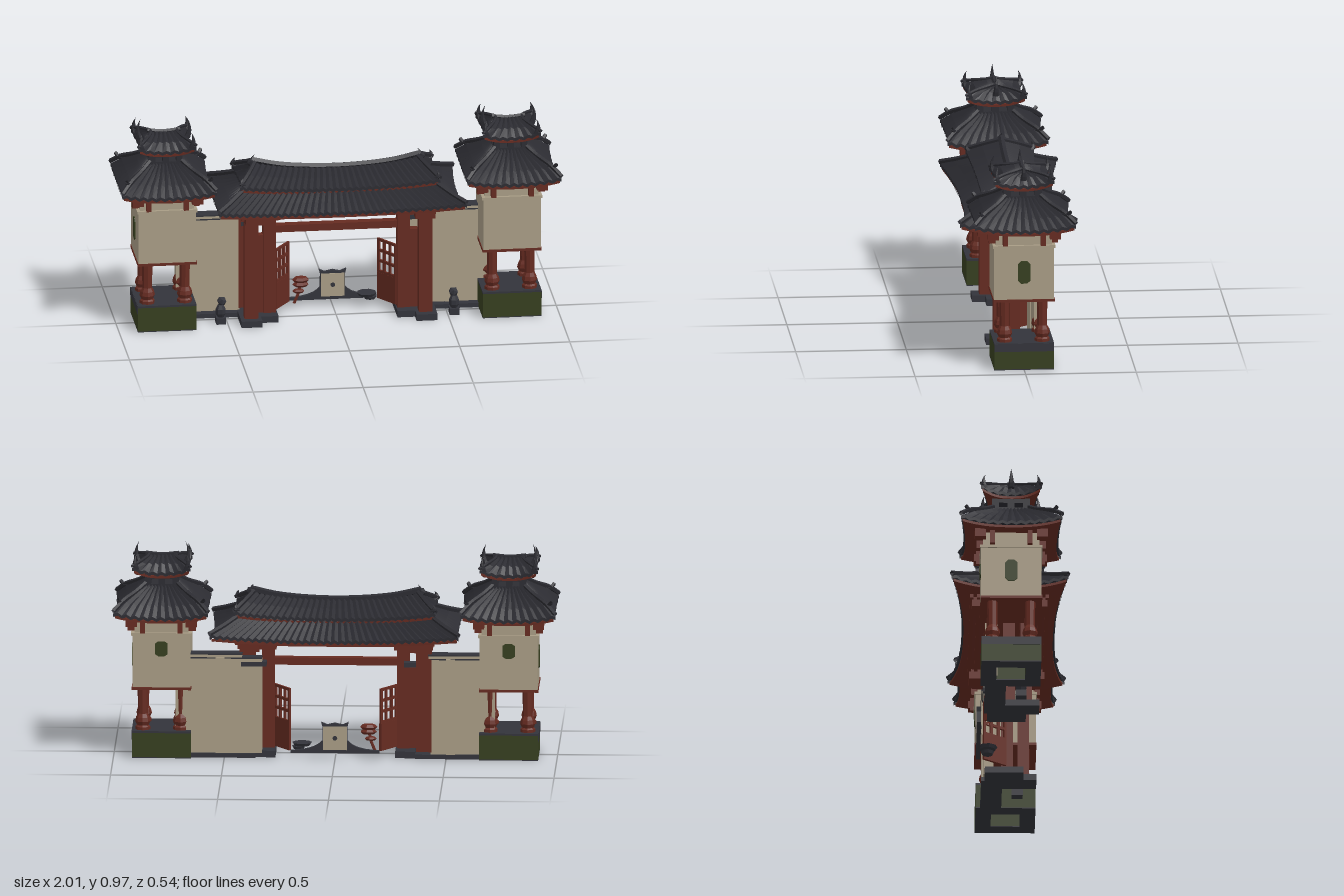
import * as THREE from 'three';

const mat = (name, color) => new THREE.MeshStandardMaterial({ name, color, flatShading: true, side: THREE.DoubleSide });
const SLATE = mat('roof slate', 0x2c2c32);
const STONE = mat('grey stone', 0x33343b);
const RED = mat('red timber', 0x662b21);
const CREAM = mat('cream plaster', 0xa99d86);
const GREEN = mat('moss green', 0x363f1f);

function add(parent, name, geo, material, x = 0, y = 0, z = 0) {
  const m = new THREE.Mesh(geo, material);
  m.name = name;
  m.position.set(x, y, z);
  parent.add(m);
  return m;
}
// box given by its ranges
function box(parent, name, material, x0, x1, y0, y1, z0, z1) {
  return add(parent, name, new THREE.BoxGeometry(Math.abs(x1 - x0), y1 - y0, z1 - z0), material,
    (x0 + x1) / 2, (y0 + y1) / 2, (z0 + z1) / 2);
}
// thin bar along a curve through a few points
function bar(parent, name, material, pts, r, n = 10) {
  const curve = new THREE.CatmullRomCurve3(pts.map(p => new THREE.Vector3(...p)));
  return add(parent, name, new THREE.TubeGeometry(curve, n, r, 5), material);
}

// rectangular ring with flared, lifted corners and tile corrugation
function ring({ hx, hz, y, lift = 0, fx = 0, fz = 0 }, nx, nz, wave) {
  const pts = [];
  for (let side = 0; side < 4; side++) {
    const n = side % 2 ? nz : nx;
    for (let i = 0; i < n; i++) {
      const t = -1 + 2 * i / n, c = Math.abs(t) ** 2.4;
      const sgn = side < 2 ? 1 : -1;
      const h = y + lift * c + (i % 2 ? wave : -wave);
      if (side % 2 === 0) pts.push([sgn * t * (hx + fx), h, sgn * (hz + fz * c)]);
      else pts.push([sgn * (hx + fx * c), h, -sgn * t * (hz + fz)]);
    }
  }
  return pts;
}
function loft(rings, nx, nz, wave) {
  const n = 2 * (nx + nz), idx = [];
  const pos = rings.flatMap(r => ring(r, nx, nz, wave)).flat();
  for (let k = 0; k + 1 < rings.length; k++) {
    for (let j = 0; j < n; j++) {
      const a = k * n + j, b = k * n + (j + 1) % n;
      idx.push(a, b, b + n, a, b + n, a + n);
    }
  }
  const g = new THREE.BufferGeometry();
  g.setAttribute('position', new THREE.Float32BufferAttribute(pos, 3));
  g.setIndex(idx);
  g.computeVertexNormals();
  return g;
}
// tiled roof with red soffit and raised hip bars
function roof(parent, name, rings, inner, nx, nz, wave, hipR) {
  const e = rings[0];
  add(parent, name, loft([{ ...e, y: e.y - 0.014 }, ...rings], nx, nz, wave), SLATE);
  const under = { ...e, hx: e.hx - 0.008, hz: e.hz - 0.008, y: e.y - 0.016 };
  add(parent, name + 'Soffit', loft([inner, { ...under, y: e.y - 0.028 }, under], nx, nz, 0), RED);
  for (const sx of [-1, 1]) for (const sz of [-1, 1]) {
    const pts = rings.map(r => [sx * (r.hx + (r.fx || 0)), r.y + (r.lift || 0) + hipR * 0.6, sz * (r.hz + (r.fz || 0))]);
    bar(parent, name + 'Hip', SLATE, pts, hipR);
  }
}
// curved, tapering horn leaning along +x before it is turned
function horn(parent, x, y, z, h, angle) {
  const g = new THREE.ConeGeometry(0.016, h, 6, 5).translate(0, h / 2, 0);
  const p = g.attributes.position;
  for (let i = 0; i < p.count; i++) {
    const t = p.getY(i) / h;
    p.setX(i, p.getX(i) + 0.05 * t * (1 - t));
  }
  g.computeVertexNormals();
  add(parent, 'roofHorn', g, SLATE, x, y, z).rotation.y = angle;
}
function plinthFrame(h, hole) {
  const s = new THREE.Shape([[-.133, -.135], [.133, -.135], [.133, .135], [-.133, .135]].map(p => new THREE.Vector2(...p)));
  s.holes.push(new THREE.Path([[-hole, -hole], [-hole, hole], [hole, hole], [hole, -hole]].map(p => new THREE.Vector2(...p))));
  return new THREE.ExtrudeGeometry(s, { depth: h, bevelEnabled: false }).rotateX(-Math.PI / 2);
}

function tower(s) {
  const g = new THREE.Group();
  g.name = 'tower';
  g.position.x = s * 0.783;
  // hollow plinth
  add(g, 'plinthFoot', plinthFrame(0.004, 0.065), STONE);
  add(g, 'plinth', plinthFrame(0.111, 0.065), GREEN, 0, 0.004);
  box(g, 'plinthTop', STONE, -.133, .133, .115, .124, -.135, .135);
  box(g, 'plinthBand', STONE, s * .132, s * .135, .085, .122, -.135, .135);
  // turned legs
  const leg = [[.034, 0], [.034, .015], [.027, .022], [.035, .04], [.031, .058], [.022, .075], [.024, .2]]
    .map(p => new THREE.Vector2(...p));
  for (const x of [-.085, .085]) for (const z of [-.085, .085])
    add(g, 'leg', new THREE.LatheGeometry(leg, 8), RED, x, .122, z);
  // plastered room
  box(g, 'floorBeam', RED, -.134, .134, .315, .327, -.139, .139);
  box(g, 'room', CREAM, -.131, .131, .325, .57, -.136, .136);
  box(g, 'roomLedge', CREAM, -.137, .137, .565, .578, -.141, .141);
  box(g, 'upperWall', CREAM, -.122, .122, .575, .665, -.127, .127);
  // eight-sided windows, outer face and a smaller one at the back
  const c = .014;
  const win = new THREE.Shape([[-.028, -.052 + c], [-.028 + c, -.052], [.028 - c, -.052], [.028, -.052 + c],
    [.028, .052 - c], [.028 - c, .052], [-.028 + c, .052], [-.028, .052 - c]].map(p => new THREE.Vector2(...p)));
  const wg = new THREE.ExtrudeGeometry(win, { depth: .005, bevelEnabled: false });
  add(g, 'outerWindow', wg, GREEN, s * .1305, .453, 0).rotation.y = s * Math.PI / 2;
  const back = add(g, 'backWindow', wg, GREEN, 0, .505, -.1355);
  back.rotation.y = Math.PI;
  back.scale.y = .65;
  // eave brackets
  for (const a of [-1, 1]) for (const b of [-1, 1]) {
    box(g, 'bracket', RED, a * .085 - .011, a * .085 + .011, .58, .65, b * .14 - .016, b * .14 + .016);
    box(g, 'bracket', RED, a * .138 - .016, a * .138 + .016, .58, .65, b * .085 - .011, b * .085 + .011);
    box(g, 'cornerBracket', RED, a * .135 - .025, a * .135 + .025, .61, .65, b * .14 - .025, b * .14 + .025);
  }
  // main roof
  roof(g, 'mainRoof', [
    { hx: .206, hz: .214, y: .664, lift: .026, fx: .008, fz: .015 },
    { hx: .162, hz: .172, y: .708, lift: .02, fx: .01, fz: .012 },
    { hx: .112, hz: .12, y: .755, lift: .006 },
    { hx: .072, hz: .08, y: .79 }], { hx: .12, hz: .125, y: .645 }, 22, 22, .005, .011);
  for (const a of [-1, 1]) for (const b of [-1, 1])
    bar(g, 'hipTip', SLATE, [[a * .155, .728, b * .165], [a * .18, .73, b * .19], [a * .194, .745, b * .206]], .009, 5);
  // open lantern
  box(g, 'lanternSill', SLATE, -.076, .076, .765, .793, -.086, .086);
  box(g, 'lanternHead', SLATE, -.076, .076, .815, .85, -.086, .086);
  for (const a of [-1, 0, 1]) for (const b of [-1, 0, 1])
    if (a || b) box(g, 'lanternPost', SLATE, a * .062 - .014, a * .062 + .014, .79, .818, b * .07 - .016, b * .07 + .016);
  // crown roof
  roof(g, 'crownRoof', [
    { hx: .112, hz: .112, y: .85, lift: .03, fx: .02, fz: .026 },
    { hx: .09, hz: .085, y: .885, lift: .008, fx: .01, fz: .01 },
    { hx: .065, hz: .03, y: .905 },
    { hx: .06, hz: .004, y: .912 }], { hx: .07, hz: .08, y: .835 }, 14, 14, .004, .008);
  bar(g, 'crownRidge', SLATE, [[-.075, .918, 0], [0, .911, 0], [.075, .918, 0]], .01);
  for (const a of [-1, 1]) {
    for (const b of [-1, 1]) horn(g, a * .112, .868, b * .116, .07, Math.atan2(-b, a));
    horn(g, a * .105, .875, 0, .096, a > 0 ? 0 : Math.PI);
  }
  return g;
}

// gate posts, boundary wall, door and guardian on one side
function gateSide(s) {
  const g = new THREE.Group();
  g.name = 'gateSide';
  const b = (name, m, x0, x1, ...r) => box(g, name, m, s * x0, s * x1, ...r);
  b('outerPlinth', STONE, .35, .445, 0, .03, -.02, .134);
  b('innerPlinth', STONE, .27, .36, 0, .03, -.1, .075);
  b('wallPlinth', STONE, .36, .65, 0, .02, -.115, -.02);
  b('outerPost', RED, .365, .427, .03, .56, .05, .1);
  b('innerPost', RED, .275, .333, .03, .56, -.027, .027);
  b('sideRail', RED, .33, .37, .03, .4, -.02, .02);
  b('postHead', RED, .265, .44, .5, .56, -.11, .11);
  b('eaveBracket', RED, .34, .43, .5, .545, -.17, .17);
  // wall, pilasters and capping; one end is closed by a rear post
  const end = s > 0 ? .33 : .43;
  b('wall', CREAM, end, .72, .02, .455, -.104, -.06);
  b('pilaster', CREAM, .5, .54, .02, .46, -.112, -.056);
  b('wallTop', CREAM, .42, .7, .462, .474, -.112, -.054);
  b('wallCap', STONE, .418, .7, .474, .48, -.114, -.052);
  b('wallCapLine', STONE, end, .7, .455, .462, -.108, -.056);
  b('innerCap', STONE, .31, .425, .42, .44, -.106, -.055);
  if (s < 0) b('rearPost', RED, .365, .435, .03, .56, -.107, -.057);
  // open lattice door
  const d = new THREE.Group();
  d.name = 'door';
  d.position.set(s * .275, .035, -.005);
  d.rotation.y = s < 0 ? .96 : Math.PI - .96;
  g.add(d);
  box(d, 'doorPanel', RED, 0, .125, 0, .125, -.006, .006);
  for (const x of [.006, .043, .082, .119]) box(d, 'doorBar', RED, x - .006, x + .006, .12, .285, -.005, .005);
  for (const y of [.13, .18, .23, .28]) box(d, 'doorRail', RED, 0, .125, y - .006, y + .006, -.005, .005);
  // guardian statue
  b('statueBase', STONE, .508, .552, 0, .03, .025, .075);
  add(g, 'statueBody', new THREE.SphereGeometry(.027, 7, 5).scale(.9, 1.3, 1), STONE, s * .53, .058, .05);
  add(g, 'statueHead', new THREE.IcosahedronGeometry(.023, 0), STONE, s * .526, .107, .058);
  return g;
}

export function createModel() {
  const model = new THREE.Group();
  model.name = 'gatehouse';
  for (const s of [-1, 1]) model.add(tower(s), gateSide(s));

  // gate beams and purlins
  box(model, 'frontBeam', RED, -.43, .43, .5, .545, .05, .095);
  box(model, 'rearBeam', RED, -.43, .43, .515, .55, -.11, -.075);
  box(model, 'lowerBeam', RED, -.28, .28, .41, .443, -.02, .02);
  for (const z of [-.17, -.14, -.045, -.015, .015, .14, .17])
    box(model, 'purlin', RED, -.45, .45, .533, .55, z - .008, z + .008);

  // gate roof in two tiers
  roof(model, 'lowerGateRoof', [
    { hx: .55, hz: .21, y: .562, lift: .033, fx: .012, fz: .053 },
    { hx: .495, hz: .165, y: .598, lift: .02, fx: .01, fz: .04 },
    { hx: .42, hz: .11, y: .645, lift: .015 }], { hx: .4, hz: .1, y: .55 }, 70, 24, .005, .012);
  add(model, 'gateCeiling', new THREE.BoxGeometry(.82, .008, .22), RED, 0, .553, 0);
  roof(model, 'upperGateRoof', [
    { hx: .435, hz: .135, y: .65, lift: .03, fx: .02, fz: .02 },
    { hx: .405, hz: .075, y: .682, lift: .03, fx: .005, fz: .01 },
    { hx: .37, hz: .006, y: .712, lift: .03 }], { hx: .41, hz: .1, y: .64 }, 60, 16, .005, .011);
  bar(model, 'gateRidge', SLATE, [[-.385, .757, 0], [-.25, .728, 0], [0, .712, 0], [.25, .728, 0], [.385, .757, 0]], .015, 20);
  for (const s of [-1, 1]) {
    horn(model, s * .37, .735, 0, .045, s > 0 ? 0 : Math.PI);
    add(model, 'ridgeEnd', new THREE.IcosahedronGeometry(.022, 0), SLATE, s * .385, .745, 0);
    for (const z of [-1, 1]) horn(model, s * .44, .685, z * .14, .035, Math.atan2(-z, s));
  }

  // screen tablet behind the gate
  const foot = new THREE.Shape();
  foot.moveTo(-.2, .03);
  foot.lineTo(.2, .03);
  foot.lineTo(.2, .042);
  foot.quadraticCurveTo(.09, .045, .06, .085);
  foot.lineTo(-.06, .085);
  foot.quadraticCurveTo(-.09, .045, -.2, .042);
  add(model, 'tabletFoot', new THREE.ExtrudeGeometry(foot, { depth: .018, bevelEnabled: false, curveSegments: 6 }), STONE, 0, 0, -.142);
  const slab = new THREE.Shape([[-.057, .045], [.057, .045], [.056, .15], [.062, .172], [.035, .16], [0, .168],
    [-.035, .16], [-.062, .172], [-.056, .15]].map(p => new THREE.Vector2(...p)));
  add(model, 'tabletFrame', new THREE.ExtrudeGeometry(slab, { depth: .02, bevelEnabled: false }), STONE, 0, 0, -.143);
  box(model, 'tabletFace', CREAM, -.054, .054, .045, .154, -.146, -.12);
  add(model, 'tabletBoss', new THREE.CylinderGeometry(.011, .011, .03, 8).rotateX(Math.PI / 2), STONE, 0, .1, -.133);

  // small garden ornaments beside the tablet
  [[-.15, .142, .04], [-.15, .12, .038], [-.16, .088, .028]].forEach(([x, y, r]) =>
    add(model, 'gardenFan', new THREE.SphereGeometry(r, 7, 4).scale(1, .4, .7), RED, x, y, -.09));
  bar(model, 'gardenStem', RED, [[-.18, .03, -.09], [-.16, .08, -.09], [-.15, .14, -.09]], .007, 5);
  for (const [x, y, r] of [[.15, .062, .045], [.165, .046, .03]])
    add(model, 'gardenStone', new THREE.CylinderGeometry(r, r * .8, .014, 9), STONE, x, y, -.09);
  return model;
}
